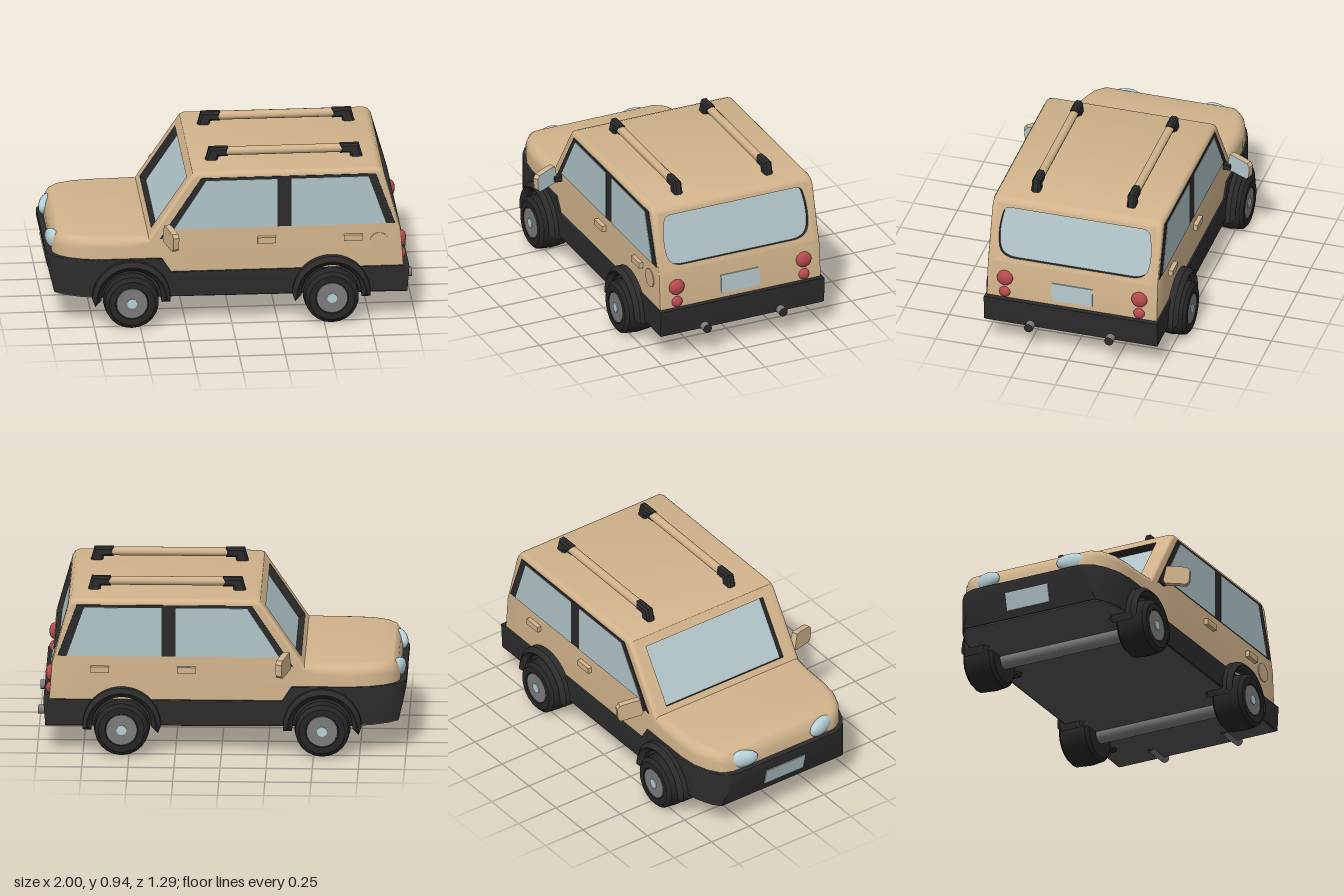
import * as THREE from 'three';
import { toCreasedNormals } from 'three/addons/utils/BufferGeometryUtils.js';

const mat = (name, color, side = THREE.FrontSide) => {
  const m = new THREE.MeshStandardMaterial({ color, side });
  m.name = name;
  return m;
};

// Lofts round-shouldered sections [x, halfWidth, yBottom, yTop, radius] along x.
function loft(sections, openTop = []) {
  const arc = 5, pos = [], idx = [];
  for (const [x, w, yb, yt, r0] of sections) {
    const r = Math.min(r0, (yt - yb) * 0.9), half = [[w, yb]];
    for (let k = 0; k <= arc; k++) {
      const a = (k / arc) * Math.PI / 2;
      half.push([w - r + r * Math.cos(a), yt - r + r * Math.sin(a)]);
    }
    half.forEach(([z, y]) => pos.push(x, y, -z));
    half.reverse().forEach(([z, y]) => pos.push(x, y, z));
  }
  const n = 2 * (arc + 2), last = (sections.length - 1) * n;
  for (let i = 0; i < sections.length - 1; i++) {
    for (let j = 0; j < n; j++) {
      if (j === arc + 1 && openTop.includes(i)) continue;
      const k = (j + 1) % n, a = i * n + j, b = i * n + k;
      idx.push(a, b, b + n, a, b + n, a + n);
    }
  }
  for (let j = 1; j < n - 1; j++) idx.push(0, j + 1, j, last, last + j, last + j + 1);
  const g = new THREE.BufferGeometry();
  g.setAttribute('position', new THREE.Float32BufferAttribute(pos, 3));
  g.setIndex(idx);
  return toCreasedNormals(g, 0.6);
}

const poly = (pts) => new THREE.Shape(pts.map(([x, y]) => new THREE.Vector2(x, y)));

export function createModel() {
  const car = new THREE.Group();
  car.name = 'car';
  const paint = mat('tan paint', 0xd2b48c);
  const trim = mat('black trim', 0x2b2b2b);
  const rubber = mat('tyre rubber', 0x262626);
  const glass = mat('window glass', 0xb2c6ca);
  const lamp = mat('headlight glass', 0xb8d2d8);
  const red = mat('red lamp', 0xb84a4e);
  const metal = mat('grey metal', 0x7c7c7c);
  const floorMat = mat('underside grey', 0x555555);

  const add = (name, geo, material, x = 0, y = 0, z = 0) => {
    const m = new THREE.Mesh(geo, material);
    m.name = name;
    m.position.set(x, y, z);
    car.add(m);
    return m;
  };
  const plate = (pts, depth) => new THREE.ExtrudeGeometry(poly(pts), { depth, bevelEnabled: false });

  // Painted upper body, open where the windscreen and rear window sit
  add('body', loft([
    [-0.968, 0.33, 0.25, 0.42, 0.03], [-0.955, 0.365, 0.25, 0.465, 0.04],
    [-0.93, 0.40, 0.25, 0.492, 0.05], [-0.88, 0.435, 0.25, 0.503, 0.055],
    [-0.80, 0.467, 0.25, 0.505, 0.06], [-0.70, 0.48, 0.25, 0.505, 0.06],
    [-0.55, 0.48, 0.25, 0.505, 0.055], [-0.45, 0.48, 0.25, 0.50, 0.03],
    [-0.21, 0.48, 0.25, 0.86, 0.03], [-0.185, 0.48, 0.25, 0.87, 0.03],
    [0.79, 0.48, 0.25, 0.87, 0.03], [0.815, 0.48, 0.25, 0.86, 0.03],
    [0.83, 0.48, 0.25, 0.84, 0.03], [0.92, 0.48, 0.25, 0.52, 0.03],
    [0.937, 0.48, 0.25, 0.29, 0.03],
  ], [7, 12]), paint);

  // Black lower cladding with both bumpers
  add('lowerCladding', loft([
    [-1.0, 0.33, 0.35, 0.385, 0.004], [-0.982, 0.375, 0.27, 0.385, 0.004],
    [-0.96, 0.405, 0.18, 0.385, 0.004], [-0.91, 0.44, 0.178, 0.385, 0.004],
    [-0.82, 0.475, 0.175, 0.385, 0.004], [-0.72, 0.49, 0.17, 0.385, 0.004],
    [-0.38, 0.49, 0.165, 0.385, 0.004], [-0.33, 0.49, 0.165, 0.305, 0.004],
    [0.85, 0.49, 0.16, 0.305, 0.004], [0.955, 0.49, 0.157, 0.305, 0.004],
    [0.965, 0.49, 0.29, 0.305, 0.004],
  ]), trim);

  // Floor pan
  add('underside', loft([
    [-0.955, 0.40, 0.173, 0.19, 0.002], [-0.91, 0.435, 0.171, 0.19, 0.002],
    [-0.82, 0.47, 0.168, 0.19, 0.002], [-0.72, 0.482, 0.163, 0.19, 0.002],
    [0.85, 0.482, 0.154, 0.19, 0.002], [0.95, 0.482, 0.152, 0.19, 0.002],
  ]), floorMat);

  // Sloping panel with a recessed pane; bottom and top are [x, y], out is the facing side in x
  function recessedPane(name, bottom, top, out, hole, depth) {
    const up = new THREE.Vector3(top[0] - bottom[0], top[1] - bottom[1], 0);
    const len = up.length();
    up.normalize();
    const side = new THREE.Vector3(0, 0, -out);
    const basis = new THREE.Matrix4().makeBasis(side, up, side.clone().cross(up));
    basis.setPosition(bottom[0], bottom[1], 0);
    const frame = poly([[-0.45, 0], [0.45, 0], [0.45, len], [-0.45, len]]);
    frame.holes.push(hole);
    const g = new THREE.ExtrudeGeometry(frame, { depth, bevelEnabled: false, curveSegments: 8 });
    add(name + 'Frame', g.translate(0, 0, -depth).applyMatrix4(basis), [paint, trim]);
    const pane = new THREE.ShapeGeometry(hole, 8).translate(0, 0, 0.004 - depth);
    add(name + 'Glass', pane.applyMatrix4(basis), glass);
  }
  recessedPane('windscreen', [-0.45, 0.5], [-0.21, 0.86], -1,
    poly([[-0.39, 0.035], [0.39, 0.035], [0.39, 0.38], [-0.39, 0.38]]), 0.045);
  const rear = new THREE.Shape();
  rear.moveTo(-0.33, 0.028);
  rear.lineTo(0.33, 0.028);
  rear.quadraticCurveTo(0.405, 0.03, 0.42, 0.085);
  rear.quadraticCurveTo(0.44, 0.17, 0.415, 0.28);
  rear.quadraticCurveTo(0.41, 0.31, 0.375, 0.312);
  rear.lineTo(-0.375, 0.312);
  rear.quadraticCurveTo(-0.41, 0.31, -0.415, 0.28);
  rear.quadraticCurveTo(-0.44, 0.17, -0.42, 0.085);
  rear.quadraticCurveTo(-0.405, 0.03, -0.33, 0.028);
  recessedPane('rearWindow', [0.92, 0.52], [0.83, 0.84], 1, rear, 0.03);

  // Tyre with a shallow dished face, turned to run along z
  const tyreGeo = toCreasedNormals(new THREE.LatheGeometry([
    [0, -0.092], [0.125, -0.092], [0.146, -0.075], [0.153, 0], [0.146, 0.075],
    [0.125, 0.092], [0.09, 0.092], [0.085, 0.078], [0, 0.078],
  ].map(([r, y]) => new THREE.Vector2(r, y)), 22).rotateX(Math.PI / 2), 0.6);
  const disc = (r, h, n = 20) => new THREE.CylinderGeometry(r, r, h, n).rotateX(Math.PI / 2);

  for (const s of [1, -1]) {
    const side = s > 0 ? 'Near' : 'Far';
    const onSide = (name, pts, depth, z, m) =>
      add(name + side, plate(pts, depth), m, 0, 0, s > 0 ? z : -z - depth);

    // Side glazing
    onSide('windowSurround', [[-0.39, 0.495], [-0.345, 0.51], [-0.31, 0.55], [0.89, 0.55],
      [0.785, 0.84], [-0.165, 0.84]], 0.005, 0.479, trim);
    onSide('frontDoorGlass', [[-0.315, 0.55], [0.25, 0.55], [0.25, 0.825], [-0.14, 0.825]],
      0.004, 0.482, glass);
    onSide('rearDoorGlass', [[0.325, 0.55], [0.84, 0.55], [0.745, 0.825], [0.325, 0.825]],
      0.004, 0.482, glass);

    // Door handles
    for (const x of [0.19, 0.66])
      add('doorHandle' + side, new THREE.BoxGeometry(0.1, 0.034, 0.028), paint, x, 0.477, s * 0.49);

    // Wheels and arch flares
    for (const x of [-0.548, 0.54]) {
      const tyre = add('tyre' + side, tyreGeo, rubber, x, 0.155, s * 0.473);
      if (s < 0) tyre.rotation.y = Math.PI;
      add('wheelHub' + side, disc(0.085, 0.03), metal, x, 0.155, s * 0.547);
      add('hubCap' + side, disc(0.028, 0.03, 10), lamp, x, 0.155, s * 0.552);
      const arch = new THREE.Shape();
      arch.moveTo(0.19, -0.01);
      arch.absarc(0, 0, 0.19, 0, Math.PI, false);
      arch.lineTo(-0.19, -0.01);
      arch.absarc(0, 0, 0.185, Math.PI, 0, true);
      const flare = new THREE.ExtrudeGeometry(arch, {
        depth: 0.12, bevelSize: 0.022, bevelThickness: 0.025, bevelSegments: 1, curveSegments: 14,
      });
      add('wheelArch' + side, toCreasedNormals(flare, 0.5), trim, x, 0.165, s > 0 ? 0.395 : -0.515);
    }

    // Door mirror
    const mirrorPts = [[0.515, 0.59], [0.545, 0.59], [0.63, 0.575], [0.645, 0.555], [0.64, 0.49],
      [0.625, 0.475], [0.505, 0.49], [0.497, 0.51]].map(([z, y]) => [-s * (z - 0.57), y - 0.53]);
    const mirror = new THREE.Group();
    mirror.name = 'doorMirror' + side;
    mirror.position.set(-0.335, 0.53, s * 0.57);
    mirror.rotation.y = Math.PI / 2 + s * 0.33;
    const shell = new THREE.Mesh(plate(mirrorPts, 0.03).translate(0, 0, -0.02), paint);
    shell.name = 'mirrorShell';
    const face = new THREE.Mesh(plate(mirrorPts, 0.004).translate(0, 0, 0.01), glass);
    face.name = 'mirrorGlass';
    mirror.add(shell, face);
    car.add(mirror);
    add('mirrorMount' + side, new THREE.BoxGeometry(0.04, 0.03, 0.05), trim, -0.34, 0.515, s * 0.495);

    // Roof rail with sloped black feet
    const bar = new THREE.CylinderGeometry(0.024, 0.024, 0.68, 10).rotateZ(Math.PI / 2);
    add('roofRail' + side, bar, paint, 0.3, 0.915, s * 0.27);
    for (const e of [-1, 1]) {
      const foot = new THREE.ExtrudeGeometry(
        poly([[0.315, 0.9], [0.365, 0.9], [0.375, 0.86], [0.42, 0.86], [0.40, 0.93], [0.315, 0.93]]
          .map(([x, y]) => [0.3 + e * x, y])),
        { depth: 0.026, bevelSize: 0.011, bevelThickness: 0.011, bevelSegments: 1 });
      add('railFoot' + side, foot, trim, 0, 0, s * 0.27 - 0.013);
    }

    // Lamps
    const head = add('headlight' + side, new THREE.SphereGeometry(1, 20, 14), lamp, -0.953, 0.432, s * 0.265);
    head.scale.set(0.034, 0.052, 0.092);
    head.rotation.y = s * 0.32;
    for (const [y, r] of [[0.425, 0.045], [0.338, 0.032]])
      add('tailLight' + side, new THREE.SphereGeometry(1, 18, 12), red, 0.93, y, s * 0.38).scale.set(0.026, r, r);

    // Exhaust pipe
    const pipe = new THREE.CylinderGeometry(0.025, 0.025, 0.17, 14).rotateZ(-Math.PI / 2);
    add('exhaust' + side, pipe, [metal, trim, trim], 0.915, 0.168, s * 0.227);
  }

  // Fuel flap, on one flank only
  add('fuelFlap', disc(0.052, 0.008, 24), paint, 0.803, 0.445, 0.481);

  // Axles
  for (const x of [-0.548, 0.54]) add('axle', disc(0.045, 0.8, 16), metal, x, 0.15, 0);

  // Blank number plates
  add('rearPlate', new THREE.BoxGeometry(0.008, 0.105, 0.23), glass, 0.932, 0.385, 0).rotation.z = 0.074;
  add('frontPlate', new THREE.BoxGeometry(0.008, 0.1, 0.26), glass, -0.983, 0.27, 0).rotation.z = 0.23;

  return car;
}
